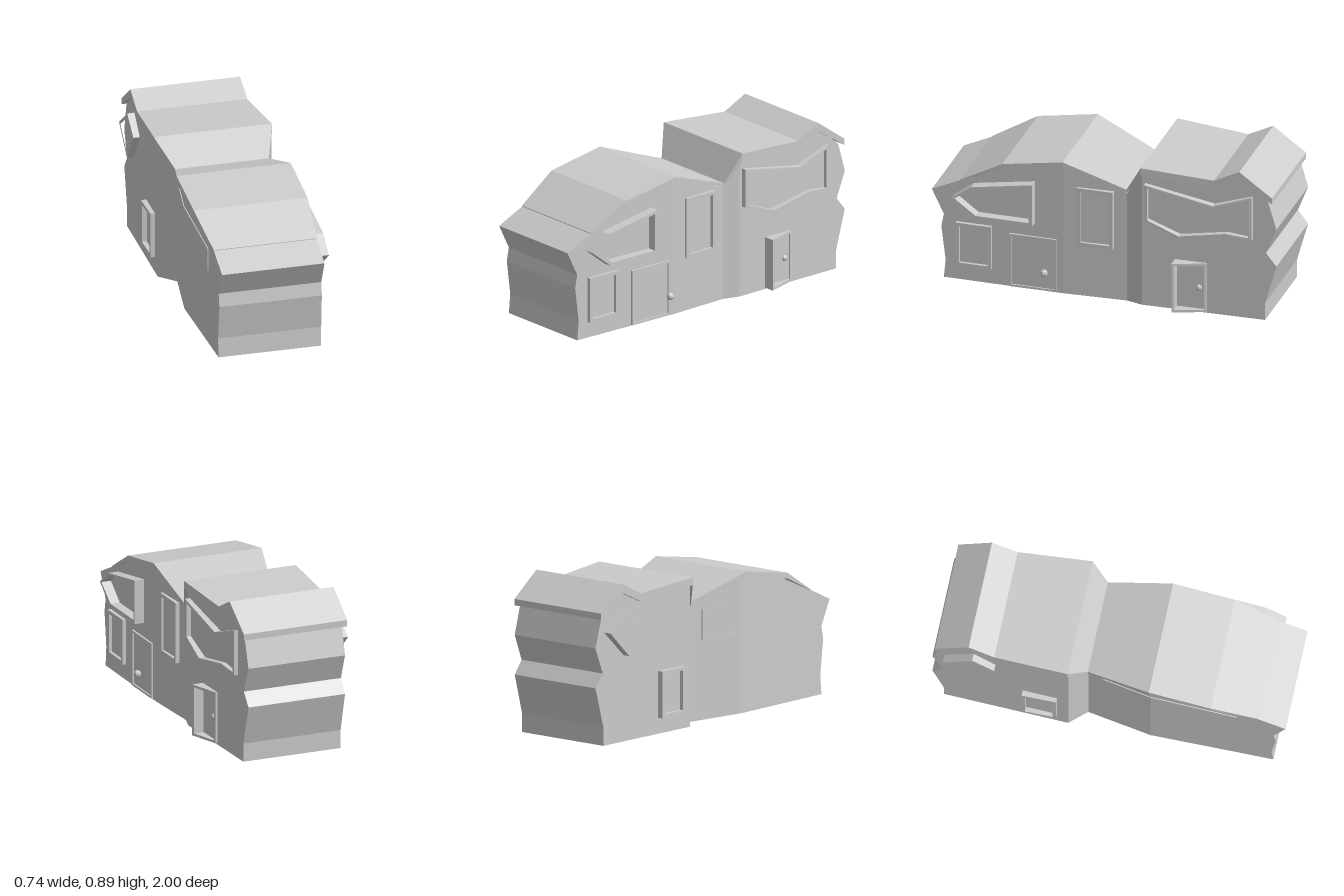
import * as THREE from 'three';

const mat = new THREE.MeshStandardMaterial({ color: 0xcccccc, flatShading: true });

// Returns a function interpolating a [z, value] table sorted by falling z
const along = (table) => (z) => {
  if (z >= table[0][0]) return table[0][1];
  for (let i = 1; i < table.length; i++) {
    const [z0, a] = table[i - 1], [z1, b] = table[i];
    if (z >= z1) return a + (b - a) * (z0 - z) / (z0 - z1);
  }
  return table[table.length - 1][1];
};

// Plan outlines of walls and roof
const wallPlus = along([[1, 0.265], [0.235, 0.272], [-0.13, 0.256], [-0.225, 0.283], [-1, 0.266]]);
const wallMinus = along([[1, -0.325], [0.235, -0.325], [-0.13, -0.262], [-0.225, -0.348], [-1, -0.32]]);
const roofPlus = along([[0.835, 0.268], [0.585, 0.285], [0.235, 0.287], [-0.13, 0.265], [-0.225, 0.31], [-0.645, 0.287], [-1, 0.285]]);
const roofMinus = along([[0.835, -0.326], [0.585, -0.37], [0.235, -0.37], [-0.13, -0.275], [-0.225, -0.37], [-0.645, -0.347], [-1, -0.342]]);

// Side profile [z, y] extruded across x, from hi(z) down to lo(z)
function slab(name, pts, hi, lo, hole) {
  const toV = (p) => p.map(([z, y]) => new THREE.Vector2(z, y));
  const shape = new THREE.Shape(toV(pts));
  if (hole) shape.holes.push(new THREE.Path(toV(hole)));
  const geo = new THREE.ExtrudeGeometry(shape, { depth: 1, bevelEnabled: false });
  const pos = geo.attributes.position;
  for (let i = 0; i < pos.count; i++) {
    const z = pos.getX(i), y = pos.getY(i), t = pos.getZ(i);
    pos.setXYZ(i, hi(z) + (lo(z) - hi(z)) * t, y, z);
  }
  geo.computeVertexNormals();
  const mesh = new THREE.Mesh(geo, mat);
  mesh.name = name;
  return mesh;
}

const rect = (z0, y0, z1, y1) => [[z0, y0], [z1, y0], [z1, y1], [z0, y1]];

// Shrinks an outline towards the centre of its bounds by a margin
function inset(pts, m) {
  const range = (k) => {
    const v = pts.map((p) => p[k]);
    return [Math.min(...v), Math.max(...v)];
  };
  const r = [range(0), range(1)];
  return pts.map((p) => p.map((v, k) => {
    const c = (r[k][0] + r[k][1]) / 2, w = r[k][1] - r[k][0];
    return c + (v - c) * (1 - 2 * m / w);
  }));
}

// Frame standing off a side wall, with a thin panel inside; side is +1 or -1
function opening(name, pts, outer, side = 1, margin = 0.02) {
  const group = new THREE.Group();
  group.name = name;
  const wall = side > 0 ? wallPlus : wallMinus;
  const back = (z) => wall(z) - side * 0.015;
  const glass = (z) => wall(z) + side * 0.003;
  const inner = inset(pts, margin);
  const add = (n, p, face, hole) => group.add(
    side > 0 ? slab(n, p, face, back, hole) : slab(n, p, back, face, hole));
  add('frame', pts, outer, inner);
  add('panel', inner, glass);
  return group;
}

function knob(name, x, y, z, r) {
  const mesh = new THREE.Mesh(new THREE.SphereGeometry(r, 8, 6), mat);
  mesh.position.set(x, y, z);
  mesh.name = name;
  return mesh;
}

export function createModel() {
  const model = new THREE.Group();
  model.name = 'house';

  // Walls, cut into blocks at each fold of the plan
  const d = 0.025;
  const blocks = {
    frontBlock: [[0.235, 0], [0.93, 0], [0.92, 0.11], [0.945, 0.31], [0.93, 0.385], [1, 0.528],
      [0.835, 0.605], [0.585, 0.745 - d], [0.235, 0.805 - d]],
    middleBlock: [[-0.13, 0], [0.235, 0], [0.235, 0.805 - d], [-0.13, 0.68 - d]],
    waistBlock: [[-0.225, 0], [-0.13, 0], [-0.13, 0.68 - d], [-0.225, 0.845 - d]],
    rearBlock: [[-0.935, 0], [-0.225, 0], [-0.225, 0.845 - d], [-0.645, 0.82 - d], [-0.79, 0.89 - d],
      [-0.95, 0.73], [-1, 0.56], [-0.94, 0.41], [-1, 0.335], [-0.935, 0.105]],
  };
  for (const [name, pts] of Object.entries(blocks)) model.add(slab(name, pts, wallPlus, wallMinus));

  // Roof planes, each a thin slab between two crease lines
  const crease = [[0.835, 0.609], [0.585, 0.747], [0.235, 0.808], [-0.13, 0.682],
    [-0.225, 0.847], [-0.645, 0.82], [-0.79, 0.893], [-0.98, 0.757]];
  const thick = [0.006, 0.033, 0.04, 0.02, 0.045, 0.045, 0.05, 0.036];
  for (let i = 0; i < crease.length - 1; i++) {
    const [z0, y0] = crease[i], [z1, y1] = crease[i + 1];
    model.add(slab('roofPlane', [[z0, y0], [z1, y1], [z1, y1 - thick[i + 1]], [z0, y0 - thick[i]]],
      roofPlus, roofMinus));
  }

  // Windows and doors of the +x side
  model.add(
    opening('lowFrontWindow', rect(0.65, 0.09, 0.855, 0.352), () => 0.288),
    opening('slantedFrontWindow',
      [[0.87, 0.515], [0.755, 0.6], [0.4, 0.662], [0.4, 0.408], [0.735, 0.408]], () => 0.327),
    opening('middleWindow', rect(-0.055, 0.31, 0.155, 0.66), () => 0.283),
    opening('bentRearWindow',
      [[-0.245, 0.748], [-0.645, 0.675], [-0.865, 0.748], [-0.865, 0.485], [-0.73, 0.5],
        [-0.44, 0.445], [-0.245, 0.525]],
      along([[-0.245, 0.312], [-0.55, 0.322], [-0.865, 0.293]])),
    opening('frontDoor', rect(0.275, 0.005, 0.545, 0.325), () => 0.282, 1, 0.012),
    opening('rearDoor', rect(-0.6, 0.008, -0.415, 0.305), along([[-0.415, 0.345], [-0.6, 0.285]]), 1, 0.014),
    knob('frontKnob', 0.345, 0.143, 0.325, 0.022),
    knob('rearKnob', 0.275, 0.15, -0.555, 0.019),
  );

  // Windows of the -x side
  model.add(
    opening('tiltedWindow', [[-0.765, 0.76], [-0.64, 0.665], [-0.77, 0.488], [-0.93, 0.64]],
      () => -0.37, -1, 0.027),
    opening('lowRearWindow', rect(-0.485, 0.09, -0.29, 0.355), () => -0.371, -1),
    opening('longWindow',
      [[0.725, 0.57], [0.725, 0.44], [0.235, 0.465], [-0.04, 0.455], [-0.04, 0.625], [0.235, 0.62]],
      (z) => wallMinus(z) - 0.005, -1, 0.012),
  );
  return model;
}
